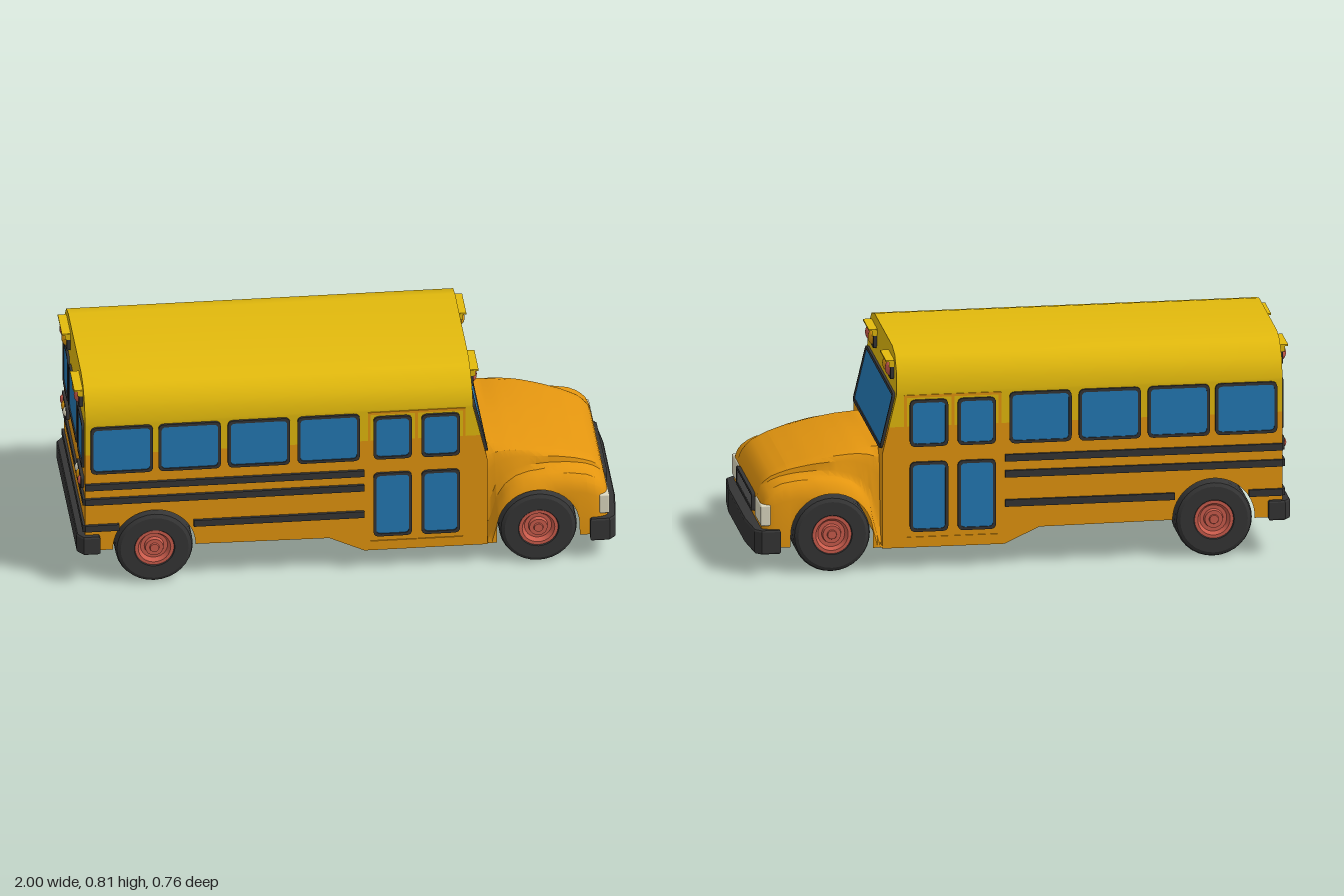
import * as THREE from 'three';
import { toCreasedNormals } from 'three/addons/utils/BufferGeometryUtils.js';
import { RoundedBoxGeometry } from 'three/addons/geometries/RoundedBoxGeometry.js';

const mat = (name, color, side = THREE.FrontSide) => {
  const m = new THREE.MeshStandardMaterial({ color, side });
  m.name = name;
  return m;
};

// Rounded rectangle outline centred on the origin
function roundRect(w, h, r, Kind = THREE.Shape) {
  const s = new Kind(), x = w / 2, y = h / 2;
  s.moveTo(-x + r, -y);
  s.lineTo(x - r, -y); s.quadraticCurveTo(x, -y, x, -y + r);
  s.lineTo(x, y - r); s.quadraticCurveTo(x, y, x - r, y);
  s.lineTo(-x + r, y); s.quadraticCurveTo(-x, y, -x, y - r);
  s.lineTo(-x, -y + r); s.quadraticCurveTo(-x, -y, -x + r, -y);
  return s;
}

// Solid plate or ring, centred in depth
function plate(w, h, r, depth, border = 0) {
  const s = roundRect(w, h, r);
  if (border) s.holes.push(roundRect(w - 2 * border, h - 2 * border, Math.max(r - border / 2, 0.002), THREE.Path));
  return new THREE.ExtrudeGeometry(s, { depth, bevelEnabled: false, curveSegments: 4 }).translate(0, 0, -depth / 2);
}

// Linear lookup in a list of [x, value]
function look(table, x) {
  for (let i = 1; i < table.length; i++) {
    const [x0, v0] = table[i - 1], [x1, v1] = table[i];
    if (x <= x1) return v0 + (v1 - v0) * Math.max(0, (x - x0) / (x1 - x0));
  }
  return table[table.length - 1][1];
}

// Surface through rings of [x, y, z] points
function loft(rings, closed, capEnd) {
  const n = rings[0].length, idx = [];
  for (let i = 0; i < rings.length - 1; i++) {
    for (let j = 0; j < (closed ? n : n - 1); j++) {
      const k = (j + 1) % n, a = i * n + j, b = i * n + k, c = a + n, d = b + n;
      idx.push(a, c, b, b, c, d);
    }
  }
  const pos = rings.flat(2);
  if (capEnd) {
    const base = (rings.length - 1) * n, end = rings[rings.length - 1];
    pos.push(...capEnd);
    for (let j = 0; j < n; j++) idx.push(base + j, rings.length * n, base + (j + 1) % n);
    if (!end) return null;
  }
  const g = new THREE.BufferGeometry();
  g.setAttribute('position', new THREE.Float32BufferAttribute(pos, 3));
  g.setIndex(idx);
  return toCreasedNormals(g, 0.6);
}

export function createModel() {
  const bus = new THREE.Group();
  bus.name = 'schoolBus';
  const yellow = mat('roof yellow', 0xe3ba0d, THREE.DoubleSide);
  const orange = mat('body orange', 0xe3950f, THREE.DoubleSide);
  const black = mat('trim black', 0x353535);
  const glass = mat('window blue', 0x2479b5);
  const red = mat('signal red', 0xcb5c4c);
  const amber = mat('signal amber', 0xe09a10);
  const cream = mat('lamp cream', 0xdcd8c0);
  const grey = mat('grille grey', 0x777777);

  const add = (name, geo, m, x = 0, y = 0, z = 0, parent = bus) => {
    const o = new THREE.Mesh(geo, m);
    o.name = name;
    o.position.set(x, y, z);
    parent.add(o);
    return o;
  };
  const box = (name, m, x0, x1, y0, y1, z0, z1) =>
    add(name, new THREE.BoxGeometry(x1 - x0, y1 - y0, z1 - z0), m, (x0 + x1) / 2, (y0 + y1) / 2, (z0 + z1) / 2);

  const W = 0.36, REAR = -0.97, WX = [-0.715, 0.7], WY = 0.145, ARCH = 0.152;
  const frontX = y => look([[0.08, 0.512], [0.44, 0.512], [0.66, 0.46], [0.81, 0.455]], y);

  // Upper cabin and rounded roof: closed rings by height
  const upper = [[0.54, W], [0.66, W], [0.67, W], [0.74, 0.345], [0.795, 0.29], [0.812, 0.22]];
  const levels = upper.map(([y, w]) => [[REAR, y, -w], [REAR, y, w], [frontX(y), y, w], [frontX(y), y, -w]]);
  add('upperCabinAndRoof', loft(levels, true, [-0.25, 0.812, 0]), yellow);

  // Lower cabin sides with rear wheel arch
  const side = new THREE.Shape();
  side.moveTo(REAR, 0.14);
  side.lineTo(WX[0] - ARCH, 0.14);
  side.absarc(WX[0], WY, ARCH, Math.PI, 0, true);
  [[-0.07, 0.14], [0.06, 0.08], [0.512, 0.08], [0.512, 0.44], [frontX(0.54), 0.54], [REAR, 0.54]].forEach(p => side.lineTo(...p));
  for (const s of [1, -1]) {
    const geo = new THREE.ShapeGeometry(side, 20);
    if (s < 0) geo.rotateY(Math.PI).scale(-1, 1, 1), geo.index.array.reverse();
    add('lowerSide', geo, orange, 0, 0, s * W);
  }
  const acrossRing = (x, y) => [[x, y, W], [x, y, -W]];
  add('frontWall', loft([[0.512, 0.08], [0.512, 0.44], [frontX(0.54), 0.54]].map(p => acrossRing(...p)), false), orange);
  add('rearWall', loft([[REAR, 0.54], [REAR, 0.14]].map(p => acrossRing(...p)), false), orange);
  box('stepFloor', black, 0.08, 0.5, 0.09, 0.14, -0.33, 0.33);

  // Hood and fenders: cross-sections along x, lower edge following the wheel arch
  const hoodTop = [[0.51, 0.44], [0.6, 0.434], [0.68, 0.422], [0.77, 0.402], [0.85, 0.377], [0.91, 0.35], [0.935, 0.328], [0.95, 0.305], [0.958, 0.275]];
  const fenderTop = [[0.51, 0.1], [0.53, 0.15], [0.55, 0.23], [0.58, 0.285], [0.62, 0.32], [0.67, 0.338], [0.74, 0.346], [0.82, 0.343], [0.88, 0.333], [0.92, 0.315], [0.945, 0.293], [0.958, 0.27]];
  const hoodWidth = [[0.51, 0.295], [0.7, 0.285], [0.9, 0.255], [0.958, 0.24]];
  const outer = [[0.51, 0.362], [0.9, 0.362], [0.93, 0.358], [0.95, 0.35], [0.958, 0.34]];
  const stations = [0.51, 0.52, 0.53, 0.547].map(x => [x, 0.085]);
  for (let i = 0; i <= 18; i++) {
    const a = Math.PI * i / 18;
    stations.push([WX[1] - ARCH * Math.cos(a), WY + ARCH * Math.sin(a)]);
  }
  [0.853, 0.88, 0.91, 0.93, 0.945, 0.952, 0.958].forEach(x => stations.push([x, 0.1]));
  const hoodRings = stations.map(([x, b]) => {
    const f = look(fenderTop, x), t = look(hoodTop, x), w = look(hoodWidth, x), o = look(outer, x), d = t - f;
    const half = [
      [o, b], [o, Math.max(b, f - 0.06)], [o - 0.012, Math.max(b, f - 0.02)], [o - 0.035, f],
      [w + 0.015, f + 0.08 * d], [w, f + 0.3 * d], [w - 0.004, f + 0.7 * d], [w - 0.018, f + 0.9 * d], [w - 0.05, t]
    ].map(([z, y]) => [x, y, z]);
    return [...half, [x, t, 0], ...half.map(([px, y, z]) => [px, y, -z]).reverse()];
  });
  add('hoodAndFenders', loft(hoodRings, false, [0.958, 0.2, 0]), orange);

  // Framed windows, visible from both sides of the wall
  const windowPane = (name, w, h, x, y, z, yaw = 0, tilt = 0) => {
    const g = new THREE.Group();
    g.name = name;
    g.position.set(x, y, z);
    g.rotation.set(0, yaw, tilt, 'ZYX');
    add('frame', plate(w, h, 0.022, 0.018, 0.011), black, 0, 0, 0, g);
    add('pane', plate(w - 0.018, h - 0.018, 0.015, 0.009), glass, 0, 0, 0, g);
    bus.add(g);
  };
  for (const s of [1, -1]) {
    for (const x of [-0.835, -0.585, -0.33, -0.073]) windowPane('sideWindow', 0.23, 0.195, x, 0.56, s * W);
    for (const x of [0.163, 0.34]) {
      windowPane('doorUpperWindow', 0.142, 0.178, x, 0.553, s * W);
      windowPane('doorLowerWindow', 0.142, 0.265, x, 0.273, s * W);
    }
    add('doorSurround', plate(0.36, 0.55, 0.004, 0.008, 0.01), orange, 0.252, 0.385, s * W);
    box('doorSeam', orange, 0.246, 0.257, 0.115, 0.655, s * W - 0.003, s * W + 0.003);
    windowPane('rearSideWindow', 0.16, 0.19, REAR, 0.56, s * 0.25, Math.PI / 2);
  }
  windowPane('rearWindow', 0.28, 0.19, REAR, 0.56, 0, Math.PI / 2);
  windowPane('windshield', 0.675, 0.215, 0.486, 0.556, 0, Math.PI / 2, Math.atan2(0.052, 0.22));

  // Rub rails along sides and back
  for (const [y, parts] of [[0.408, [[REAR, 0.058]]], [0.347, [[REAR, 0.058]]], [0.236, [[REAR, -0.845], [-0.57, 0.058]]]]) {
    for (const s of [1, -1]) {
      for (const [a, b] of parts) box('rubRail', black, a, b, y - 0.013, y + 0.013, s * 0.362 - 0.009, s * 0.362 + 0.009);
    }
    if (y < 0.4) box('rearRail', black, REAR - 0.009, REAR + 0.009, y - 0.013, y + 0.013, -0.365, 0.365);
  }

  // Wrapped bumpers: plan outline extruded upward
  const bumper = (name, pts, y0, h) => {
    const all = [...pts, ...pts.map(([x, z]) => [x, -z]).reverse()];
    const shape = new THREE.Shape(all.map(([x, z]) => new THREE.Vector2(x, -z)));
    const geo = new THREE.ExtrudeGeometry(shape, { depth: h - 0.012, bevelThickness: 0.006, bevelSize: 0.004, bevelSegments: 1 });
    add(name, geo.rotateX(-Math.PI / 2), black, 0, y0 + 0.006, 0);
  };
  bumper('frontBumper', [[0.95, 0.34], [0.895, 0.358], [0.895, 0.374], [0.96, 0.374], [0.982, 0.352], [0.996, 0.2]], 0.08, 0.09);
  bumper('rearBumper', [[-0.965, 0.35], [-0.92, 0.36], [-0.92, 0.378], [-0.975, 0.378], [-0.996, 0.35]], 0.133, 0.073);

  // Grille and headlights
  add('grilleBack', plate(0.37, 0.064, 0.01, 0.012).rotateY(Math.PI / 2), black, 0.959, 0.228, 0);
  add('grilleFrame', plate(0.378, 0.07, 0.012, 0.022, 0.01).rotateY(Math.PI / 2), black, 0.961, 0.228, 0);
  for (let i = 0; i < 14; i++) box('grilleBar', grey, 0.96, 0.969, 0.204, 0.252, -0.163 + i * 0.025 - 0.003, -0.163 + i * 0.025 + 0.003);
  for (const s of [1, -1]) add('headlight', new RoundedBoxGeometry(0.038, 0.078, 0.145, 2, 0.006), cream, 0.944, 0.222, s * 0.288);

  // Warning lamps above the windows, front and back
  const lamp = (name, m, r, x, y, z) => add(name, new THREE.SphereGeometry(r, 16, 12), m, x, y, z).scale.set(0.7, 1, 1);
  for (const s of [1, -1]) {
    for (const [x, dir] of [[0.456, 1], [REAR, -1]]) {
      add('lampHousing', plate(0.143, 0.07, 0.012, 0.016).rotateY(Math.PI / 2), black, x + dir * 0.006, 0.734, s * 0.212);
      lamp('redWarningLamp', red, 0.028, x + dir * 0.01, 0.734, s * 0.246);
      lamp('amberWarningLamp', amber, 0.028, x + dir * 0.01, 0.734, s * 0.179);
      const visor = box('lampVisor', yellow, x - 0.002, x + 0.032, 0.768, 0.774, s * 0.212 - 0.073, s * 0.212 + 0.073);
      visor.position.x += dir < 0 ? -0.03 : 0;
      for (const e of [1, -1]) {
        const z = s * 0.212 + e * 0.072;
        const mid = x + dir * 0.01;
        box('visorCheek', yellow, mid - 0.01, mid + 0.01, 0.748, 0.772, z - 0.002, z + 0.002);
      }
    }
    // Tail lamps
    add('tailLampHousing', plate(0.15, 0.046, 0.01, 0.016).rotateY(Math.PI / 2), black, REAR - 0.004, 0.408, s * 0.255);
    [red, amber, cream].forEach((m, i) => lamp('tailLamp', m, 0.018, REAR - 0.01, 0.408, s * (0.302 - i * 0.047)));
  }

  // Wheels: lathed tyre, dished rim and hub
  const lathe = pts => toCreasedNormals(new THREE.LatheGeometry(pts.map(p => new THREE.Vector2(...p)), 32).rotateX(Math.PI / 2), 0.5);
  const tyre = lathe([[0.068, -0.06], [0.075, -0.072], [0.125, -0.072], [0.138, -0.064], [0.143, -0.05], [0.143, 0.05], [0.138, 0.064], [0.125, 0.072], [0.075, 0.072], [0.068, 0.06]]);
  const rim = lathe([[0, -0.05], [0.05, -0.05], [0.06, -0.066], [0.072, -0.066], [0.072, 0.068], [0.06, 0.068], [0.05, 0.05], [0.036, 0.05], [0.033, 0.066], [0.018, 0.066], [0.016, 0.072], [0, 0.072]]);
  for (const x of WX) {
    for (const s of [1, -1]) {
      const wheel = new THREE.Group();
      wheel.name = 'wheel';
      wheel.position.set(x, 0.143, s * 0.3);
      if (s < 0) wheel.rotation.y = Math.PI;
      add('tyre', tyre, black, 0, 0, 0, wheel);
      add('rim', rim, red, 0, 0, 0, wheel);
      bus.add(wheel);
    }
  }
  return bus;
}
